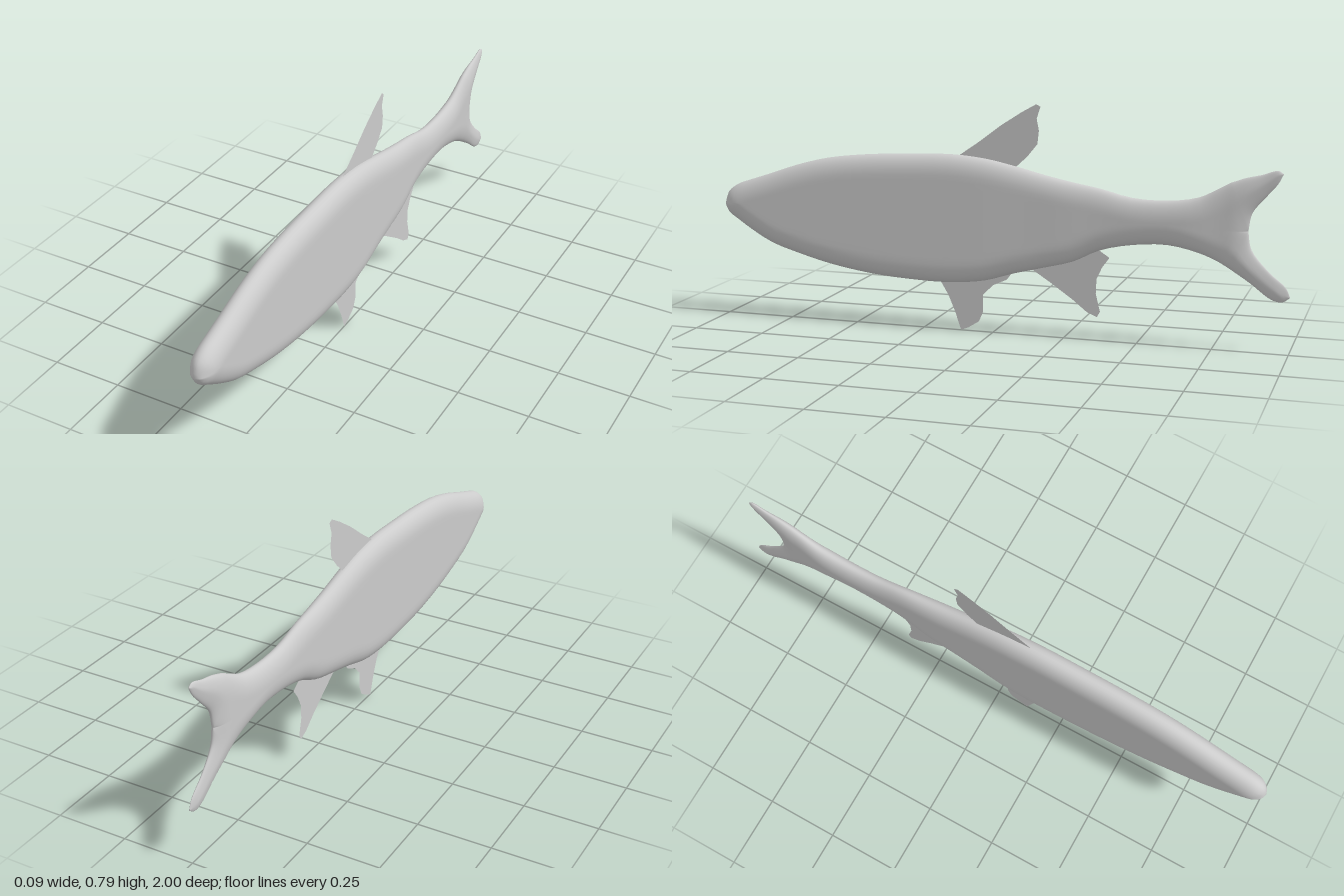
import * as THREE from 'three';
import { mergeVertices } from 'three/addons/utils/BufferGeometryUtils.js';

const ROWS = 16; // points from the rim of the body to its midline

// Smooth curve through [z, y] points, sampled evenly per station
function sample(points, perStation = 3) {
  const curve = new THREE.CatmullRomCurve3(points.map(([z, y]) => new THREE.Vector3(0, y, z)));
  return curve.getPoints((points.length - 1) * perStation);
}

// Trunk stations: [z, top, bottom], nose to tail root
const trunk = [
  [1, 0.4, 0.4], [0.985, 0.445, 0.37], [0.95, 0.472, 0.345], [0.9, 0.49, 0.312], [0.82, 0.516, 0.268],
  [0.72, 0.55, 0.236], [0.6, 0.58, 0.205], [0.45, 0.598, 0.18], [0.3, 0.606, 0.168], [0.15, 0.61, 0.166],
  [0.03, 0.6, 0.18], [-0.07, 0.58, 0.21], [-0.18, 0.553, 0.238], [-0.28, 0.532, 0.265], [-0.37, 0.516, 0.308],
  [-0.48, 0.49, 0.333], [-0.6, 0.487, 0.34], [-0.7, 0.503, 0.32], [-0.76, 0.533, 0.297], [-0.8, 0.555, 0.275],
];
// The midline runs ahead of the rim near the tail so that it ends in the notch
const lead = { 17: 0.03, 18: 0.045, 19: 0.06 };
const middle = sample(trunk.map(([z, t, b], i) => [z - (lead[i] || 0), i > 16 ? 0.4 : (t + b) / 2]));
const back = sample(trunk.map(([z, t]) => [z, t]));
const belly = sample(trunk.map(([z, , b]) => [z, b]));

// Tail lobes: outer and inner edges, notch to tip
const upperOuter = sample([[-0.8, 0.555], [-0.85, 0.573], [-0.9, 0.585], [-0.95, 0.6], [-0.967, 0.59]], 5);
const upperInner = sample([[-0.86, 0.4], [-0.872, 0.46], [-0.915, 0.515], [-0.95, 0.557], [-0.967, 0.59]], 5);
const lowerOuter = sample([[-0.8, 0.275], [-0.87, 0.23], [-0.94, 0.18], [-0.975, 0.174], [-1, 0.19]], 5);
const lowerInner = sample([[-0.86, 0.4], [-0.872, 0.34], [-0.93, 0.27], [-0.985, 0.222], [-1, 0.19]], 5);

// Line segments around the whole outline, for the rounding of the rim
const rim = [back, belly, upperOuter, upperInner, lowerOuter, lowerInner].flatMap((pts) =>
  pts.slice(1).map((p, i) => new THREE.Line3(pts[i], p)));

// Greatest half thickness along the body: [z, half width]
const widths = [[-1, 0.008], [-0.95, 0.013], [-0.8, 0.024], [-0.65, 0.033], [-0.42, 0.032], [-0.2, 0.038],
  [0.1, 0.043], [1, 0.044]];
function halfWidth(z) {
  const i = Math.max(1, widths.findIndex(([wz]) => z <= wz));
  const [z0, w0] = widths[i - 1], [z1, w1] = widths[i];
  return w0 + (w1 - w0) * THREE.MathUtils.smoothstep(z, z0, z1);
}

// Thickness rises as a quarter ellipse away from the rim
function bulge(p) {
  const near = new THREE.Vector3();
  let d = Infinity;
  for (const line of rim) {
    line.closestPointToPoint(p, true, near);
    d = Math.min(d, near.distanceTo(p));
  }
  const k = Math.min(1, d / 0.07);
  return d < 1e-5 ? 0 : halfWidth(p.z) * Math.sqrt(1 - (1 - k) ** 2);
}

// Both faces of a strip between an outer edge and an inner edge
function addStrip(outer, inner, below, positions, index) {
  for (const side of [1, -1]) {
    const start = positions.length / 3;
    outer.forEach((o, i) => {
      for (let j = 0; j <= ROWS; j++) {
        const p = o.clone().lerp(inner[i], (1 - Math.cos((Math.PI * j) / ROWS)) / 2);
        positions.push(side * bulge(p), p.y, p.z);
      }
    });
    const flip = (side < 0) !== below;
    for (let i = 0; i < outer.length - 1; i++) {
      for (let j = 0; j < ROWS; j++) {
        const a = start + i * (ROWS + 1) + j, b = a + ROWS + 1, c = a + 1, d = b + 1;
        if (flip) index.push(a, b, c, c, b, d);
        else index.push(a, c, b, c, d, b);
      }
    }
  }
}

function bodyGeometry() {
  const positions = [], index = [];
  addStrip(back, middle, false, positions, index);
  addStrip(belly, middle, true, positions, index);
  addStrip(upperOuter, upperInner, false, positions, index);
  addStrip(lowerOuter, lowerInner, true, positions, index);
  const geometry = new THREE.BufferGeometry();
  geometry.setAttribute('position', new THREE.Float32BufferAttribute(positions, 3));
  geometry.setIndex(index);
  const merged = mergeVertices(geometry, 1e-5);
  merged.computeVertexNormals();
  return merged;
}

// Flat fins on the centre plane, outlines in [z, y]
const fins = {
  dorsalFin: [[0.13, 0.6], [0.05, 0.655], [-0.03, 0.715], [-0.1, 0.76], [-0.15, 0.788], [-0.165, 0.78],
    [-0.152, 0.74], [-0.16, 0.7], [-0.155, 0.655], [-0.12, 0.612], [-0.08, 0.575], [-0.07, 0.54], [0.1, 0.55]],
  pelvicFin: [[0.19, 0.17], [0.16, 0.12], [0.135, 0.06], [0.115, 0], [0.09, 0.01], [0.05, 0.035],
    [0.035, 0.07], [0.035, 0.13], [0, 0.165], [-0.05, 0.188], [-0.08, 0.23], [0.15, 0.22]],
  analFin: [[-0.13, 0.235], [-0.2, 0.19], [-0.28, 0.135], [-0.33, 0.095], [-0.365, 0.08], [-0.375, 0.1],
    [-0.36, 0.16], [-0.362, 0.21], [-0.38, 0.25], [-0.405, 0.285], [-0.36, 0.315], [-0.32, 0.34], [-0.18, 0.28]],
};

export function createModel() {
  const model = new THREE.Group();
  model.name = 'fish';
  const grey = new THREE.MeshStandardMaterial({ color: 0xcccccc, side: THREE.DoubleSide });
  grey.name = 'fish grey';

  const body = new THREE.Mesh(bodyGeometry(), grey);
  body.name = 'bodyAndTail';
  model.add(body);

  for (const [name, outline] of Object.entries(fins)) {
    const shape = new THREE.Shape(outline.map(([z, y]) => new THREE.Vector2(z, y)));
    const fin = new THREE.Mesh(new THREE.ShapeGeometry(shape).rotateY(-Math.PI / 2), grey);
    fin.name = name;
    model.add(fin);
  }
  return model;
}
